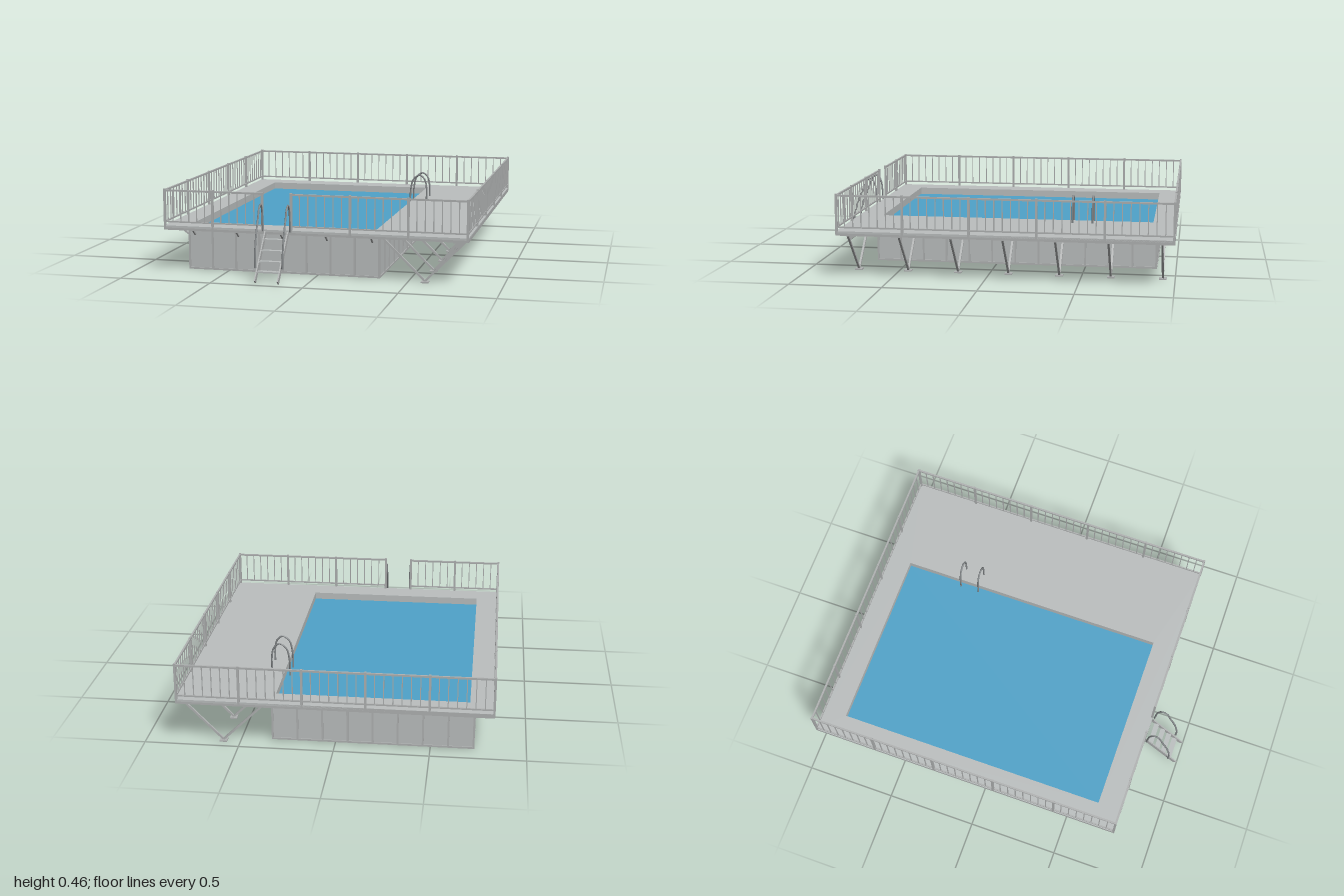
import * as THREE from 'three';

export function createModel() {
  const root = new THREE.Group();
  root.name = 'raisedPool';
  const mat = (name, color) => {
    const m = new THREE.MeshStandardMaterial({ color });
    m.name = name;
    return m;
  };
  const grey = mat('panelGrey', 0xbbbfbf);
  const steel = mat('steelGrey', 0xb0b2b2);
  const tubeGrey = mat('handrailGrey', 0x85898b);
  const water = mat('waterBlue', 0x4fa3c9);
  const floorBlue = mat('floorBlue', 0x2f6ea5);

  const group = (name, parent = root) => {
    const g = new THREE.Group();
    g.name = name;
    parent.add(g);
    return g;
  };
  const add = (parent, name, geo, m) => {
    const mesh = new THREE.Mesh(geo, m);
    mesh.name = name;
    parent.add(mesh);
    return mesh;
  };
  // Box given by its lower and upper corners
  const box = (parent, name, m, x0, x1, y0, y1, z0, z1) => {
    const b = add(parent, name, new THREE.BoxGeometry(x1 - x0, y1 - y0, z1 - z0), m);
    b.position.set((x0 + x1) / 2, (y0 + y1) / 2, (z0 + z1) / 2);
    return b;
  };
  // Square bar from point a to point b
  const bar = (parent, name, m, a, b, w, h = w) => {
    const p = new THREE.Vector3(...a), q = new THREE.Vector3(...b);
    const mesh = add(parent, name, new THREE.BoxGeometry(w, h, p.distanceTo(q)), m);
    mesh.position.copy(p).lerp(q, 0.5);
    mesh.lookAt(q);
    return mesh;
  };
  const tube = (parent, name, pts, r) => {
    const curve = new THREE.CatmullRomCurve3(pts.map(p => new THREE.Vector3(...p)));
    return add(parent, name, new THREE.TubeGeometry(curve, 32, r, 8), tubeGrey);
  };

  const D = { x0: -0.83, x1: 0.825, z0: -1, z1: 0.79 };          // deck
  const P = { x0: -0.73, x1: 0.34, z0: -0.895, z1: 0.685 };      // pool shell
  const W = { x0: -0.7, x1: 0.315, z0: -0.87, z1: 0.655 };       // water
  const top = 0.256, under = 0.232;

  // Deck plate with the pool opening
  const deck = group('deck');
  const rect = (C, r) => C.moveTo(r.x0, r.z0).lineTo(r.x1, r.z0).lineTo(r.x1, r.z1).lineTo(r.x0, r.z1).closePath();
  const shape = new THREE.Shape(), hole = new THREE.Path();
  rect(shape, D);
  rect(hole, W);
  shape.holes.push(hole);
  const plate = new THREE.ExtrudeGeometry(shape, { depth: 0.012, bevelEnabled: false }).rotateX(Math.PI / 2);
  add(deck, 'deckPlate', plate, grey).position.y = top;
  // Edge channels hanging below the plate
  box(deck, 'frontFascia', steel, D.x0, D.x1, under, top - 0.001, D.z1 - 0.012, D.z1);
  box(deck, 'backFascia', steel, D.x0, D.x1, under, top - 0.001, D.z0, D.z0 + 0.012);
  box(deck, 'rightFascia', steel, D.x0, D.x0 + 0.012, under, top - 0.001, D.z0, D.z1);
  box(deck, 'leftFascia', steel, D.x1 - 0.012, D.x1, under, top - 0.001, D.z0, D.z1);

  // Pool shell
  const pool = group('pool');
  box(pool, 'poolFloor', floorBlue, P.x0 + 0.01, P.x1 - 0.01, 0, 0.01, P.z0 + 0.01, P.z1 - 0.01);
  box(pool, 'waterSurface', water, W.x0, W.x1, 0.21, 0.216, W.z0, W.z1);
  box(pool, 'rightWall', grey, P.x0 + 0.006, W.x0, 0.002, 0.245, P.z0 + 0.006, P.z1 - 0.006);
  box(pool, 'leftWall', grey, W.x1, P.x1 - 0.006, 0.002, 0.245, P.z0 + 0.006, P.z1 - 0.006);
  box(pool, 'frontWall', grey, W.x0, W.x1, 0.002, 0.245, W.z1, P.z1 - 0.006);
  box(pool, 'backWall', grey, W.x0, W.x1, 0.002, 0.245, P.z0 + 0.006, W.z0);
  // Wall ribs and top and bottom channels
  const frame = group('wallFrame', pool);
  for (let i = 0; i <= 8; i++) {
    const x = P.x0 + 0.005 + (P.x1 - P.x0 - 0.01) * i / 8;
    for (const z of [P.z0 + 0.004, P.z1 - 0.004])
      box(frame, 'endRib', steel, x - 0.005, x + 0.005, 0, 0.24, z - 0.004, z + 0.004);
  }
  for (let i = 0; i <= 12; i++) {
    const z = P.z0 + 0.005 + (P.z1 - P.z0 - 0.01) * i / 12;
    for (const x of [P.x0 + 0.004, P.x1 - 0.004])
      box(frame, 'sideRib', steel, x - 0.004, x + 0.004, 0, 0.24, z - 0.005, z + 0.005);
  }
  for (const [y0, y1] of [[0, 0.01], [0.226, 0.24]]) {
    for (const z of [P.z0, P.z1 - 0.008]) box(frame, 'endChannel', steel, P.x0, P.x1, y0, y1, z, z + 0.008);
    for (const x of [P.x0, P.x1 - 0.008]) box(frame, 'sideChannel', steel, x, x + 0.008, y0, y1, P.z0, P.z1);
  }

  // V supports under the wide side of the deck
  const supports = group('deckSupports');
  const rows = [];
  for (let i = 0; i < 7; i++) rows.push(0.727 - 0.277 * i);
  for (const z of rows) {
    bar(supports, 'innerStrut', steel, [0.59, 0.008, z], [0.355, 0.236, z], 0.011);
    bar(supports, 'outerStrut', steel, [0.59, 0.008, z], [0.812, 0.236, z], 0.011);
    box(supports, 'footPlate', steel, 0.57, 0.61, 0, 0.007, z - 0.02, z + 0.02);
    box(supports, 'crossBeam', steel, P.x1, D.x1 - 0.01, 0.228, 0.246, z - 0.009, z + 0.009);
    // short bracket on the narrow side
    const zb = Math.min(Math.max(z, P.z0 + 0.01), P.z1 - 0.01);
    bar(supports, 'sideBracket', steel, [P.x0, 0.193, zb], [D.x0 + 0.04, 0.236, zb], 0.009);
    box(supports, 'sideBeam', steel, D.x0 + 0.01, P.x0, 0.233, 0.246, zb - 0.006, zb + 0.006);
  }
  // Lighter joists between the beams and two long stringers
  for (let i = 0; i < 6; i++)
    for (const t of [1 / 3, 2 / 3]) {
      const z = rows[i] - 0.277 * t;
      box(supports, 'joist', steel, P.x1, D.x1 - 0.01, 0.234, 0.246, z - 0.005, z + 0.005);
    }
  for (const x of [0.35, 0.58])
    box(supports, 'stringer', steel, x - 0.006, x + 0.006, 0.235, 0.246, D.z0 + 0.01, D.z1 - 0.01);
  // Short brackets at the two ends
  for (let i = 0; i < 5; i++) {
    const x = -0.69 + 0.2475 * i;
    bar(supports, 'frontBracket', steel, [x, 0.193, P.z1], [x, 0.236, P.z1 + 0.055], 0.009);
    bar(supports, 'backBracket', steel, [x, 0.193, P.z0], [x, 0.236, P.z0 - 0.055], 0.009);
    box(supports, 'frontBeam', steel, x - 0.006, x + 0.006, 0.233, 0.246, P.z1, D.z1 - 0.01);
    box(supports, 'backBeam', steel, x - 0.006, x + 0.006, 0.233, 0.246, D.z0 + 0.01, P.z0);
  }

  // Railing: posts at the listed points, with rails and balusters between
  const railing = group('railing');
  const run = (name, pts) => {
    const g = group(name, railing);
    pts.forEach(([x, z], i) => {
      box(g, 'post', steel, x - 0.006, x + 0.006, 0.238, 0.456, z - 0.006, z + 0.006);
      if (!i) return;
      const [px, pz] = pts[i - 1];
      bar(g, 'topRail', steel, [px, 0.447, pz], [x, 0.447, z], 0.01);
      bar(g, 'bottomRail', steel, [px, 0.277, pz], [x, 0.277, z], 0.008);
      const n = Math.round(Math.hypot(x - px, z - pz) / 0.045);
      for (let k = 1; k < n; k++) {
        const bx = px + (x - px) * k / n, bz = pz + (z - pz) * k / n;
        box(g, 'baluster', steel, bx - 0.0025, bx + 0.0025, 0.277, 0.445, bz - 0.0025, bz + 0.0025);
      }
    });
  };
  const R = { x0: D.x0 + 0.005, x1: D.x1 - 0.005, z0: D.z0 + 0.005, z1: D.z1 - 0.005 };
  const fifths = [0, 1, 2, 3, 4, 5].map(i => i / 5);
  const mix = THREE.MathUtils.lerp;
  run('backRailing', fifths.map(t => [mix(R.x0, R.x1, t), R.z0]));
  run('rightRailing', fifths.map(t => [R.x0, mix(R.z0, R.z1, t)]));
  run('leftRailing', fifths.map(t => [R.x1, mix(R.z0, R.z1, t)]));
  run('frontRailingRight', [R.x0, -0.555, -0.277].map(x => [x, R.z1]));
  run('frontRailingLeft', [-0.118, 0.2, 0.51, R.x1].map(x => [x, R.z1]));

  // Entry ladder with four treads and curved handrails
  const ladder = group('entryLadder');
  for (const x of [-0.258, -0.134])
    bar(ladder, 'ladderStringer', steel, [x, 0.016, 0.989], [x, 0.242, 0.792], 0.007, 0.026);
  for (const [y, z] of [[0.21, 0.823], [0.158, 0.866], [0.108, 0.907], [0.062, 0.946]])
    box(ladder, 'tread', grey, -0.255, -0.137, y - 0.004, y + 0.004, z - 0.014, z + 0.014);
  for (const [x, xi] of [[-0.27, -0.258], [-0.12, -0.134]]) {
    tube(ladder, 'ladderHandrail', [[x, 0.08, 0.946], [x, 0.15, 0.944], [x, 0.25, 0.92], [x, 0.33, 0.885],
      [x, 0.385, 0.862], [x, 0.398, 0.835], [x, 0.365, 0.812], [x, 0.25, 0.8]], 0.005);
    bar(ladder, 'handrailMount', tubeGrey, [x, 0.085, 0.945], [xi, 0.085, 0.935], 0.007);
  }

  // Grab rails at the pool edge
  const grab = group('grabRails');
  for (const z of [-0.54, -0.43])
    tube(grab, 'grabRail', [[0.293, 0.19, z], [0.295, 0.31, z], [0.312, 0.375, z], [0.35, 0.4, z],
      [0.38, 0.375, z], [0.392, 0.32, z], [0.392, 0.25, z]], 0.005);

  return root;
}
